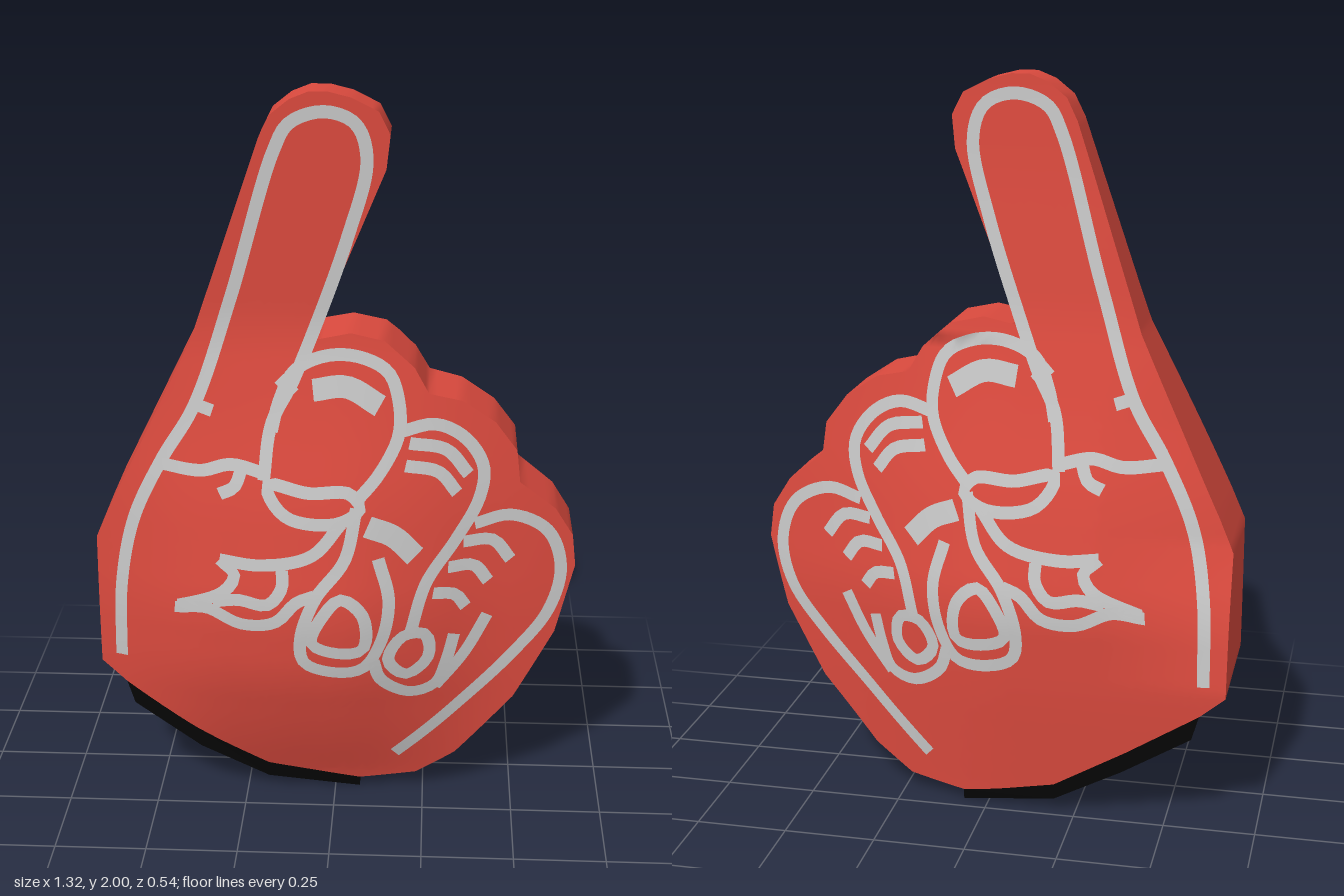
import * as THREE from 'three';

const STEP = 0.035;

// Profile lookup: linear between [t, value] pairs, averaged over a small window so it is smooth
function profile(pts) {
  const at = (t) => {
    if (t <= pts[0][0]) return pts[0][1];
    for (let i = 1; i < pts.length; i++) {
      const [a, va] = pts[i - 1], [b, vb] = pts[i];
      if (t <= b) return va + (vb - va) * (t - a) / (b - a);
    }
    return pts[pts.length - 1][1];
  };
  return (t) => [-0.06, -0.03, 0, 0.03, 0.06].reduce((s, d) => s + at(t + d), 0) / 5;
}

// Puffed front and tapering back of the foam
const frontX = profile([[-0.66, 0.2], [-0.36, 0.85], [-0.15, 1], [0.05, 1], [0.25, 0.66], [0.4, 0.33], [0.66, 0]]);
const frontY = profile([[0, 0.13], [0.2, 0.6], [0.4, 0.95], [0.6, 1.02], [0.9, 0.7], [1.12, 0.33], [1.36, 0]]);
const backX = profile([[0, 1], [0.2, 0.8], [0.4, 0.52], [0.66, 0.32]]);
const backY = profile([[0, -0.22], [0.35, -0.255], [0.6, -0.268], [0.9, -0.2], [1.1, -0.14], [1.36, -0.07], [1.75, -0.02], [2, 0]]);
const zFront = (x, y) => 0.11 + 0.157 * frontX(x) * frontY(y);
function zBack(x, y) {
  const left = THREE.MathUtils.clamp((-x - 0.3) / 0.36, 0, 1);
  const high = THREE.MathUtils.clamp((y - 0.4) / 0.4, 0, 1) * THREE.MathUtils.clamp((1.6 - y) / 0.5, 0, 1);
  return backY(y) * (y > 1.3 ? 1 : backX(x)) * (1 - 0.28 * left * high);
}

// Lower edge of the hand, left to right, and the edge of the dark base under it
const cuffTop = [[-0.59, 0.33], [-0.39, 0.2], [-0.19, 0.08], [0.07, 0.03]];
const cuffLow = [[-0.57, 0.26], [-0.38, 0.14], [-0.19, 0.035], [0.07, 0]];

// Counter-clockwise silhouette
const outline = [
  ...cuffTop, [0.23, 0.05], [0.34, 0.12], [0.5, 0.3], [0.61, 0.5], [0.66, 0.7], [0.65, 0.79],
  [0.6, 0.87], [0.5, 0.95], [0.49, 1.04], [0.43, 1.12], [0.34, 1.18], [0.25, 1.2], [0.21, 1.27],
  [0.13, 1.34], [0.04, 1.36], [-0.06, 1.34], [0.13, 1.8], [0.14, 1.89], [0.11, 1.95], [0.04, 1.985],
  [-0.02, 2], [-0.07, 2], [-0.12, 1.98], [-0.17, 1.94], [-0.2, 1.88], [-0.39, 1.33], [-0.62, 0.86],
  [-0.66, 0.77], [-0.66, 0.39],
].map(([x, y]) => new THREE.Vector2(x, y));

function makeGeometry(positions, index) {
  const g = new THREE.BufferGeometry();
  g.setAttribute('position', new THREE.Float32BufferAttribute(positions, 3));
  if (index) g.setIndex(index);
  g.computeVertexNormals();
  return g;
}

// Fills the silhouette with small triangles by halving long edges, then sets the depth
function faceGeometry(depth, flip) {
  const positions = [], index = [], seen = new Map();
  const vertex = (p) => {
    const key = p.x.toFixed(6) + ',' + p.y.toFixed(6);
    if (!seen.has(key)) {
      seen.set(key, positions.length / 3);
      positions.push(p.x, p.y, depth(p.x, p.y));
    }
    return seen.get(key);
  };
  const split = (a, b, c) => {
    const ab = a.distanceTo(b), bc = b.distanceTo(c), ca = c.distanceTo(a);
    const longest = Math.max(ab, bc, ca);
    if (longest <= STEP) {
      index.push(...(flip ? [a, c, b] : [a, b, c]).map(vertex));
      return;
    }
    if (bc === longest) [a, b, c] = [b, c, a];
    else if (ca === longest) [a, b, c] = [c, a, b];
    const m = a.clone().add(b).multiplyScalar(0.5);
    split(a, m, c);
    split(m, b, c);
  };
  for (const [a, b, c] of THREE.ShapeUtils.triangulateShape(outline, [])) split(outline[a], outline[b], outline[c]);
  return makeGeometry(positions, index);
}

// Side wall joining front and back rims
function wallGeometry() {
  const positions = [], index = [];
  outline.forEach((p, i) => {
    const q = outline[(i + 1) % outline.length];
    let n = 1;
    while (p.distanceTo(q) / n > STEP) n *= 2;
    for (let k = 0; k < n; k++) {
      const m = p.clone().lerp(q, k / n);
      positions.push(m.x, m.y, zBack(m.x, m.y), m.x, m.y, zFront(m.x, m.y));
    }
  });
  const count = positions.length / 6;
  for (let i = 0; i < count; i++) {
    const a = 2 * i, b = 2 * ((i + 1) % count);
    index.push(a, b, b + 1, a, b + 1, a + 1);
  }
  return makeGeometry(positions, index);
}

// Dark base: cross-sections of four corners along the lower edge
function baseGeometry() {
  const rings = cuffTop.map(([x, y], i) => {
    const [u, v] = cuffLow[i];
    return [[x, y, zFront(x, y)], [u, v, zFront(x, y) - 0.005], [u, v, zBack(x, y) + 0.005], [x, y, zBack(x, y)]];
  });
  const positions = [];
  const quad = (a, b, c, d) => positions.push(...a, ...b, ...c, ...a, ...c, ...d);
  for (let i = 0; i < rings.length - 1; i++) {
    for (let k = 0; k < 3; k++) quad(rings[i][k], rings[i][k + 1], rings[i + 1][k + 1], rings[i + 1][k]);
  }
  quad(...rings[0].slice().reverse());
  quad(...rings[rings.length - 1]);
  return makeGeometry(positions);
}

// Painted line lying on the front (side 1) or back (side -1)
function strokeGeometry({ pts, width = 0.034, closed = false }, side) {
  const curve = new THREE.CatmullRomCurve3(pts.map(([x, y]) => new THREE.Vector3(x, y, 0)), closed, 'centripetal');
  const n = Math.max(6, Math.ceil(curve.getLength() / 0.02));
  const positions = [], index = [];
  for (let i = 0; i <= n; i++) {
    const p = curve.getPointAt(i / n), t = curve.getTangentAt(i / n);
    for (const s of [1, 0, -1]) {
      const x = p.x - t.y * s * width / 2, y = p.y + t.x * s * width / 2;
      positions.push(x, y, side > 0 ? zFront(x, y) + 0.006 : zBack(x, y) - 0.006);
    }
    if (i === n) break;
    for (let k = 0; k < 2; k++) {
      const a = 3 * i + k, b = a + 1, c = a + 3, d = a + 4;
      index.push(...(side > 0 ? [a, b, d, a, d, c] : [a, d, b, a, c, d]));
    }
  }
  return makeGeometry(positions, index);
}

const strokes = {
  pointerLine: { pts: [[-0.6, 0.42], [-0.59, 0.65], [-0.55, 0.84], [-0.47, 1.01], [-0.38, 1.16], [-0.28, 1.45], [-0.16, 1.85],
    [-0.12, 1.92], [-0.03, 1.95], [0.05, 1.92], [0.08, 1.83], [0.03, 1.62], [-0.11, 1.24], [-0.17, 1.12], [-0.19, 0.97]] },
  pointerTick: { pts: [[-0.39, 1.17], [-0.33, 1.15]] },
  pointerCrease: { pts: [[-0.47, 1.0], [-0.36, 0.99], [-0.28, 1.01], [-0.19, 0.99]] },
  creaseTick: { pts: [[-0.25, 1.0], [-0.27, 0.95], [-0.31, 0.93]] },
  middleTick: { pts: [[-0.15, 1.24], [-0.11, 1.2]] },
  middleKnuckle: { pts: [[-0.17, 1.1], [-0.15, 1.18], [-0.11, 1.26], [-0.03, 1.3], [0.06, 1.3], [0.14, 1.26], [0.17, 1.18],
    [0.17, 1.09], [0.12, 0.99], [0.06, 0.92]] },
  middleHighlight: { pts: [[-0.06, 1.21], [0.03, 1.22], [0.12, 1.17]], width: 0.06 },
  middleFold: { pts: [[-0.18, 0.96], [-0.07, 0.94], [0.04, 0.94], [0.07, 0.9], [0.01, 0.86], [-0.12, 0.87], [-0.17, 0.92]], closed: true },
  ringKnuckle: { pts: [[0.17, 1.1], [0.27, 1.12], [0.35, 1.08], [0.4, 1.0], [0.39, 0.91], [0.33, 0.8], [0.25, 0.68], [0.21, 0.54]] },
  ringHighlightUpper: { pts: [[0.2, 1.07], [0.3, 1.05], [0.36, 0.98]] },
  ringHighlightLower: { pts: [[0.19, 1.01], [0.28, 0.99], [0.33, 0.93]] },
  ringFold: { pts: [[0.09, 0.85], [0.16, 0.82], [0.22, 0.76]], width: 0.06 },
  pinkyLine: { pts: [[0.38, 0.84], [0.48, 0.86], [0.58, 0.81], [0.62, 0.7], [0.59, 0.57], [0.49, 0.44], [0.33, 0.28], [0.17, 0.13]] },
  pinkyHighlightUpper: { pts: [[0.35, 0.79], [0.43, 0.79], [0.48, 0.73]] },
  pinkyHighlightMiddle: { pts: [[0.31, 0.72], [0.38, 0.72], [0.42, 0.67]] },
  pinkyHighlightLower: { pts: [[0.27, 0.65], [0.33, 0.64], [0.36, 0.6]] },
  pinkySide: { pts: [[0.42, 0.57], [0.36, 0.46], [0.28, 0.36]] },
  thumbTop: { pts: [[-0.31, 0.75], [-0.2, 0.74], [-0.06, 0.77], [0.02, 0.86]] },
  thumbTip: { pts: [[-0.31, 0.75], [-0.27, 0.71], [-0.3, 0.66], [-0.44, 0.6], [-0.35, 0.61], [-0.25, 0.57], [-0.16, 0.58], [-0.1, 0.64], [-0.05, 0.66]] },
  thumbNail: { pts: [[-0.33, 0.63], [-0.26, 0.64], [-0.18, 0.63], [-0.14, 0.68], [-0.14, 0.73]] },
  middleSide: { pts: [[0.06, 0.9], [0.03, 0.76], [-0.05, 0.65], [-0.09, 0.53], [-0.08, 0.46], [0.0, 0.43], [0.08, 0.44], [0.13, 0.52],
    [0.15, 0.64], [0.12, 0.76]] },
  middleNail: { pts: [[0.02, 0.65], [-0.03, 0.6], [-0.06, 0.52], [0.01, 0.49], [0.08, 0.5], [0.08, 0.6]], closed: true },
  ringTip: { pts: [[0.11, 0.46], [0.13, 0.4], [0.21, 0.35], [0.28, 0.37], [0.31, 0.44], [0.33, 0.52]] },
  ringNail: { pts: [[0.19, 0.53], [0.25, 0.53], [0.26, 0.46], [0.2, 0.41], [0.15, 0.46]], closed: true },
};

export function createModel() {
  const foam = new THREE.MeshStandardMaterial({ color: 0xdb4a3e });
  foam.name = 'red foam';
  const paint = new THREE.MeshStandardMaterial({ color: 0xc6c6c6, side: THREE.DoubleSide });
  paint.name = 'light grey paint';
  const dark = new THREE.MeshStandardMaterial({ color: 0x050505, side: THREE.DoubleSide });
  dark.name = 'black base';

  const model = new THREE.Group();
  model.name = 'foamHand';
  const add = (parent, name, geometry, material) => {
    const mesh = new THREE.Mesh(geometry, material);
    mesh.name = name;
    parent.add(mesh);
  };
  add(model, 'handFront', faceGeometry(zFront, false), foam);
  add(model, 'handBack', faceGeometry(zBack, true), foam);
  add(model, 'handSide', wallGeometry(), foam);
  add(model, 'wristOpening', baseGeometry(), dark);

  // The same line drawing on both sides
  for (const [name, side] of [['frontLines', 1], ['backLines', -1]]) {
    const lines = new THREE.Group();
    lines.name = name;
    for (const [part, stroke] of Object.entries(strokes)) add(lines, part, strokeGeometry(stroke, side), paint);
    model.add(lines);
  }
  return model;
}
